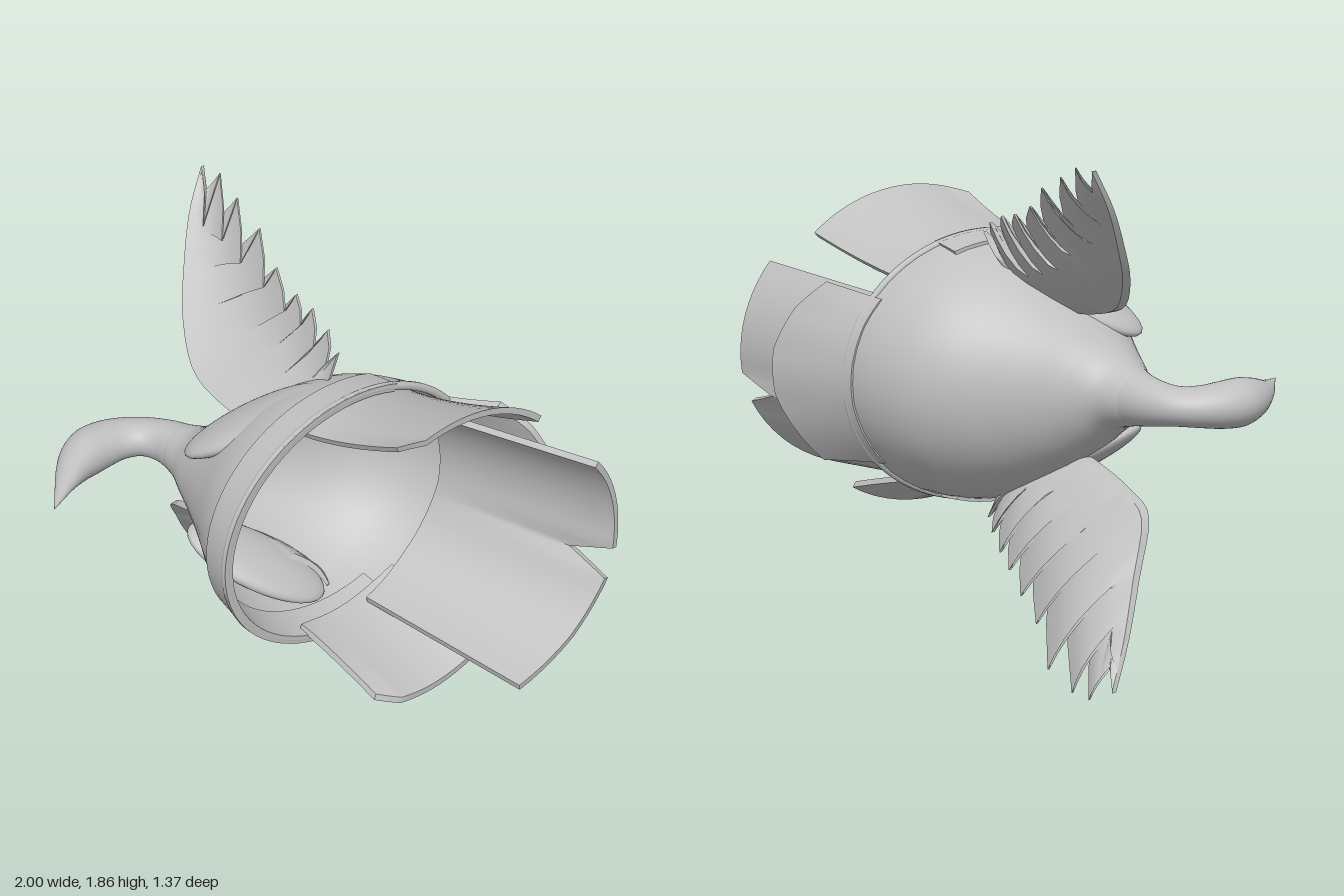
import * as THREE from 'three';
import { toCreasedNormals } from 'three/addons/utils/BufferGeometryUtils.js';

const CY = 0.94; // height of the helmet's axis
const rad = THREE.MathUtils.degToRad;
const lerp = THREE.MathUtils.lerp;
const V = (x, y, z) => new THREE.Vector3(x, y, z);

// Skin a list of closed rings, optionally capping both ends
function skin(rings, capped) {
  const m = rings[0].length, idx = [];
  const quad = (a, b, c, d) => idx.push(a, b, c, a, c, d);
  for (let r = 0; r < rings.length - 1; r++)
    for (let i = 0; i < m; i++) {
      const j = (i + 1) % m;
      quad(r * m + i, r * m + j, (r + 1) * m + j, (r + 1) * m + i);
    }
  if (capped) {
    const e = (rings.length - 1) * m;
    for (let i = 0; i < m / 2 - 1; i++) {
      quad(m - 1 - i, m - 2 - i, i + 1, i);
      quad(e + i, e + i + 1, e + m - 2 - i, e + m - 1 - i);
    }
  }
  const g = new THREE.BufferGeometry().setFromPoints(rings.flat());
  g.setIndex(idx);
  g.computeVertexNormals();
  return g;
}

// Elliptical loft: each station is [back x, back z, front x, front z, half height]
function loft(stations, steps) {
  const back = new THREE.CatmullRomCurve3(stations.map(s => V(s[0], s[4], s[1])));
  const front = new THREE.CatmullRomCurve3(stations.map(s => V(s[2], s[4], s[3])));
  const rings = [];
  for (let k = 0; k <= steps; k++) {
    const b = back.getPoint(k / steps), f = front.getPoint(k / steps), ring = [];
    for (let i = 0; i < 48; i++) {
      const t = i / 48 * Math.PI * 2, w = (1 + Math.cos(t)) / 2;
      ring.push(V(lerp(b.x, f.x, w), CY + f.y * Math.sin(t), lerp(b.z, f.z, w)));
    }
    rings.push(ring);
  }
  return skin(rings, false);
}

// Curved guard plate; edge is a list of [angle, start x, end x]
function plate(edge, start, end, power, thick = 0.025) {
  const cols = [];
  for (let k = 0; k < edge.length - 1; k++)
    for (let i = 0; i < 5; i++) cols.push(edge[k].map((v, n) => lerp(v, edge[k + 1][n], i / 5)));
  cols.push(edge[edge.length - 1]);
  const rings = [];
  for (let k = 0; k <= 8; k++) {
    const s = k / 8, f = Math.pow(s, power);
    const rz = lerp(start[0], end[0], f), ry = lerp(start[1], end[1], f);
    const at = ([t, x0, x1], d) =>
      V(lerp(x0, x1, s), CY + (ry - d) * Math.sin(rad(t)), (rz - d) * Math.cos(rad(t)));
    rings.push([...cols.map(c => at(c, 0)), ...cols.slice().reverse().map(c => at(c, thick))]);
  }
  return toCreasedNormals(skin(rings, true), rad(40));
}

// Feathered wing: cambered strips from the leading edge to each feather tip and notch
function wing(leading, tips, valleys) {
  const edge = [];
  tips.forEach((t, i) => {
    edge.push(t);
    const v = valleys[i];
    if (v) edge.push([lerp(t[0], v[0], 0.5) + 0.012, lerp(t[1], v[1], 0.5)], v);
  });
  const lead = new THREE.SplineCurve(leading.map(p => new THREE.Vector2(...p)));
  const rings = edge.map(([ex, ey], i) => {
    const u = i / (edge.length - 1), l = lead.getPoint(u), front = [], back = [];
    const chord = Math.hypot(ex - l.x, ey - l.y);
    for (let k = 0; k <= 6; k++) {
      const s = k / 6, x = lerp(l.x, ex, s), y = lerp(l.y, ey, s);
      const z = -0.2 - 0.74 * (Math.abs(y - CY) - 0.605) - 0.16 * chord * Math.sin(Math.PI * s);
      const half = 0.5 * lerp(0.02, 0.06, u) * (1 - 0.75 * s);
      front.push(V(x, y, z + half));
      back.unshift(V(x, y, z - half));
    }
    return [...front, ...back];
  });
  return toCreasedNormals(skin(rings, true), rad(40));
}

export function createModel() {
  const group = new THREE.Group();
  const metal = new THREE.MeshStandardMaterial({ color: 0xc0c0c0, side: THREE.DoubleSide });
  metal.name = 'grey metal';
  const add = (name, geometry) => {
    const mesh = new THREE.Mesh(geometry, metal);
    mesh.name = name;
    group.add(mesh);
  };

  // Hollow bell-shaped dome
  add('dome', loft([
    [0.29, -0.60, 0.08, 0.57, 0.52], [0.16, -0.59, -0.02, 0.53, 0.50], [0.0, -0.55, -0.12, 0.47, 0.455],
    [-0.15, -0.46, -0.24, 0.38, 0.37], [-0.29, -0.31, -0.36, 0.30, 0.27], [-0.40, -0.16, -0.46, 0.24, 0.18],
    [-0.48, -0.07, -0.53, 0.195, 0.125], [-0.58, -0.03, -0.60, 0.165, 0.10]], 28));

  // Bird's neck and head, hooking round to a pointed beak
  add('birdHead', loft([
    [-0.58, -0.03, -0.60, 0.165, 0.10], [-0.69, -0.01, -0.66, 0.155, 0.085], [-0.80, 0.03, -0.71, 0.175, 0.072],
    [-0.88, 0.10, -0.74, 0.22, 0.075], [-0.935, 0.20, -0.752, 0.28, 0.085], [-0.95, 0.30, -0.755, 0.34, 0.088],
    [-0.92, 0.40, -0.75, 0.42, 0.07], [-0.84, 0.51, -0.725, 0.53, 0.035], [-0.75, 0.605, -0.70, 0.61, 0.014],
    [-0.68, 0.68, -0.68, 0.68, 0.002]], 36));

  // Rolled rim around the opening
  const rim = [];
  for (let i = 0; i < 48; i++) {
    const t = i / 48 * Math.PI * 2;
    rim.push(V(0.185 - 0.105 * Math.cos(t), CY + 0.515 * Math.sin(t), -0.015 + 0.58 * Math.cos(t)));
  }
  add('rim', new THREE.TubeGeometry(new THREE.CatmullRomCurve3(rim, true), 96, 0.017, 8, true));

  // Raised brow band over the front half of the rim
  const bandRings = [];
  for (let t = -110; t <= 110; t += 5) {
    const c = Math.cos(rad(t)), s = Math.sin(rad(t));
    bandRings.push([[1.02, 0.015], [0.98, -0.125], [0.9, -0.125], [0.96, 0.015]].map(([k, a]) =>
      V(0.185 - 0.105 * c * k + a * 0.985, CY + 0.52 * s * k, -0.015 + 0.585 * c * k + a * 0.17)));
  }
  add('browBand', toCreasedNormals(skin(bandRings, true), rad(40)));

  // Guard plates hanging from the opening
  add('upperCheekGuard', plate(
    [[69, 0.12, 0.58], [76, 0.12, 0.65], [92, 0.14, 0.68], [114, 0.16, 0.72], [131, 0.18, 0.75]],
    [0.57, 0.49], [0.62, 0.635], 1.5));
  add('lowerCheekGuard', plate(
    [[291, 0.12, 0.50], [284, 0.12, 0.57], [268, 0.14, 0.60], [250, 0.16, 0.63], [238, 0.18, 0.64]],
    [0.56, 0.49], [0.61, 0.63], 1.2));
  add('outerNeckGuard', plate(
    [[143, 0.22, 0.47], [155, 0.24, 0.57], [172, 0.25, 0.64], [190, 0.25, 0.64], [218, 0.22, 0.52]],
    [0.605, 0.52], [0.69, 0.58], 1.2));
  add('longNeckGuard', plate(
    [[141, 0.24, 0.97], [165, 0.24, 0.985], [190, 0.24, 1.0], [197, 0.235, 0.82], [203.5, 0.23, 1.0],
      [230, 0.21, 0.97], [258, 0.2, 0.92]],
    [0.52, 0.475], [0.60, 0.545], 1));

  // Wings
  add('upperWing', wing(
    [[-0.90, 1.86], [-0.87, 1.72], [-0.80, 1.57], [-0.71, 1.42], [-0.57, 1.285], [-0.4, 1.23],
      [-0.25, 1.22], [-0.1, 1.27]],
    [[-0.90, 1.86], [-0.81, 1.86], [-0.69, 1.81], [-0.54, 1.75], [-0.40, 1.66], [-0.27, 1.61],
      [-0.18, 1.59], [-0.08, 1.55], [0.0, 1.50], [0.01, 1.42]],
    [[-0.79, 1.69], [-0.68, 1.67], [-0.56, 1.63], [-0.42, 1.59], [-0.29, 1.55], [-0.20, 1.53],
      [-0.11, 1.49], [-0.03, 1.46]]));
  add('lowerWing', wing(
    [[-1.0, 0.05], [-0.94, 0.2], [-0.85, 0.37], [-0.75, 0.55], [-0.6, 0.61], [-0.4, 0.655],
      [-0.25, 0.67], [-0.1, 0.61]],
    [[-1.0, 0.05], [-0.91, 0.005], [-0.82, 0.005], [-0.66, 0.04], [-0.50, 0.15], [-0.36, 0.21],
      [-0.24, 0.27], [-0.15, 0.31], [-0.06, 0.36], [0.0, 0.40], [0.01, 0.47]],
    [[-0.84, 0.27], [-0.71, 0.27], [-0.60, 0.24], [-0.46, 0.28], [-0.34, 0.32], [-0.24, 0.36],
      [-0.15, 0.39], [-0.07, 0.42], [-0.02, 0.45]]));

  // Leaf-shaped shoulder pads at the wing roots
  for (const s of [1, -1]) {
    const along = V(0.38, 0.27 * s, -0.3).normalize();
    const out = V(-0.55, 0.8 * s, 0.25);
    out.addScaledVector(along, -out.dot(along)).normalize();
    const across = V(0, 0, 0).crossVectors(out, along);
    const pad = new THREE.SphereGeometry(1, 32, 20);
    pad.applyMatrix4(new THREE.Matrix4().makeBasis(
      along.multiplyScalar(0.3), out.multiplyScalar(0.055), across.multiplyScalar(0.15 * s)));
    pad.translate(-0.175, CY + 0.325 * s, 0.11);
    add(s > 0 ? 'upperWingPad' : 'lowerWingPad', pad);
  }
  return group;
}
